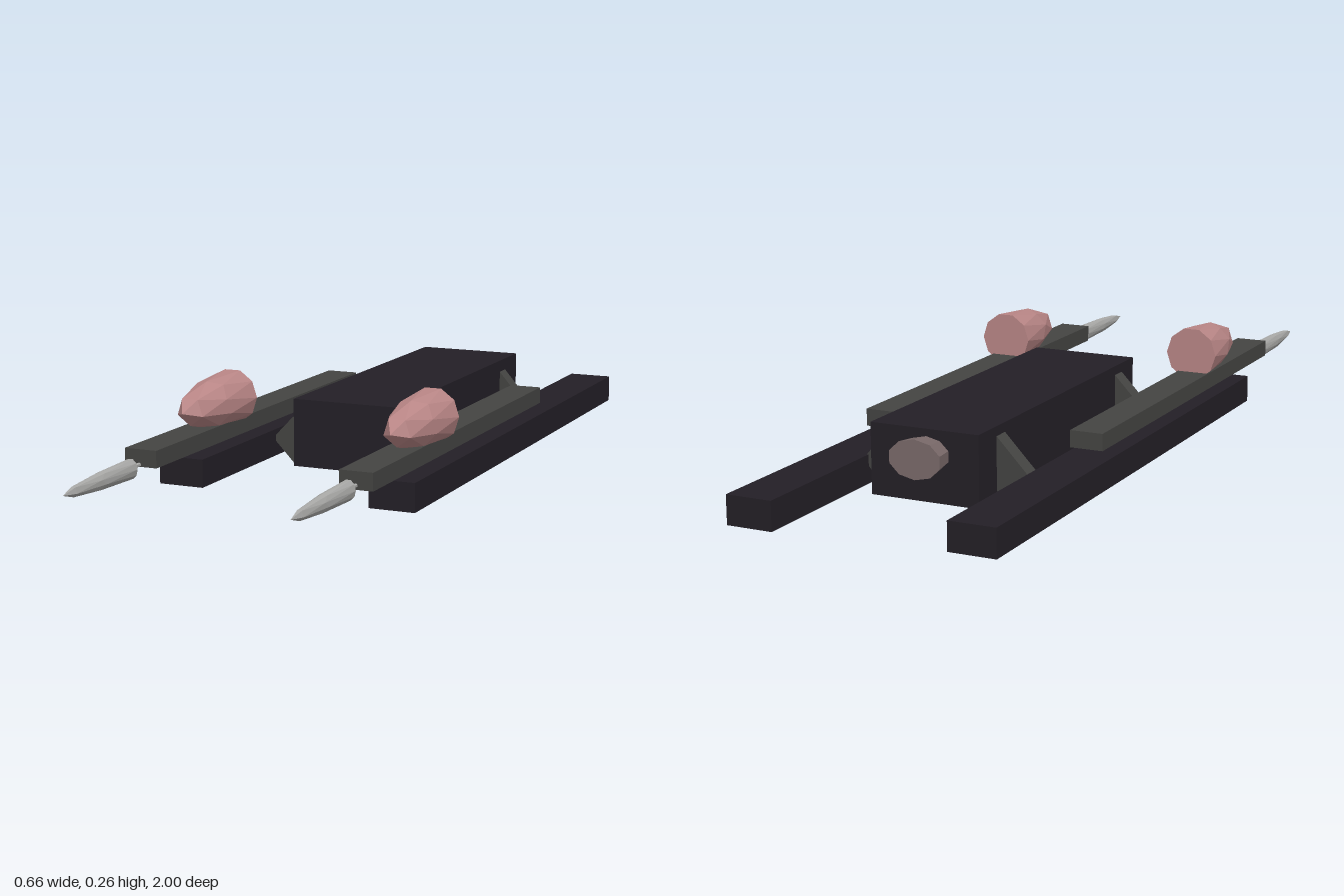
import * as THREE from 'three';

const mat = (color) => new THREE.MeshStandardMaterial({ color, flatShading: true, side: THREE.DoubleSide });

export function createModel() {
  const group = new THREE.Group();
  const black = mat(0x231f26), grey = mat(0x444442), pink = mat(0xb98686);
  const silver = mat(0xa8a8a6), brown = mat(0x7a6a6a);

  const add = (name, geometry, material) => {
    const mesh = new THREE.Mesh(geometry, material);
    mesh.name = name;
    group.add(mesh);
    return mesh;
  };

  // Box given by its minimum and maximum corners
  const box = (name, a, b, material) => {
    const mesh = add(name, new THREE.BoxGeometry(b[0] - a[0], b[1] - a[1], b[2] - a[2]), material);
    mesh.position.set((a[0] + b[0]) / 2, (a[1] + b[1]) / 2, (a[2] + b[2]) / 2);
  };

  // Faceted bullet: low-poly sphere with its pole on z and its rear half pressed flat
  const bullet = (name, x, y, rx, ry, z0, z1, material) => {
    const g = new THREE.IcosahedronGeometry(1, 1);
    g.rotateX(Math.atan(2 / (1 + Math.sqrt(5))));
    const p = g.attributes.position;
    for (let i = 0; i < p.count; i++) p.setZ(i, Math.max(0, p.getZ(i)));
    g.scale(rx, ry, z1 - z0);
    g.computeVertexNormals();
    add(name, g, material).position.set(x, y, z0);
  };

  // Slanted plate joining the hull to a runner
  const strut = (name, points, z) => {
    const shape = new THREE.Shape(points.map(([x, y]) => new THREE.Vector2(x, y)));
    const g = new THREE.ExtrudeGeometry(shape, { depth: 0.042, bevelEnabled: false });
    add(name, g, grey).position.z = z;
  };

  // Central hull and flared rear nozzle
  box('hull', [-0.13, 0.018, -0.68], [0.145, 0.188, 0.175], black);
  const nozzle = new THREE.CylinderGeometry(0.057, 0.067, 0.065, 10);
  nozzle.rotateX(Math.PI / 2);
  nozzle.scale(1, 0.7, 1);
  add('rearNozzle', nozzle, brown).position.set(0.002, 0.13, -0.7025);

  // Long lower runners
  box('leftRunner', [0.205, 0.012, -1], [0.32, 0.082, 0.472], black);
  box('rightRunner', [-0.33, 0.023, -0.985], [-0.215, 0.091, 0.492], black);

  // Upper rails
  box('leftRail', [0.22, 0.103, -0.435], [0.302, 0.145, 0.665], grey);
  box('rightRail', [-0.312, 0.108, -0.42], [-0.23, 0.149, 0.68], grey);

  // Front and rear struts
  const leftPlate = [[0.218, 0.072], [0.163, 0], [0.12, 0.035], [0.12, 0.186]];
  const rightPlate = [[-0.223, 0.068], [-0.165, 0.008], [-0.11, 0.055], [-0.11, 0.186]];
  for (const z of [-0.592, 0.047]) strut('leftStrut', leftPlate, z);
  for (const z of [-0.594, 0.062]) strut('rightStrut', rightPlate, z);

  // Rounded pods on the rails
  bullet('leftPod', 0.264, 0.19, 0.067, 0.068, 0.23, 0.485, pink);
  bullet('rightPod', -0.265, 0.197, 0.067, 0.068, 0.24, 0.495, pink);

  // Pointed tips on thin rods
  for (const [side, x, z] of [['left', 0.26, 0.703], ['right', -0.275, 0.717]]) {
    bullet(side + 'Tip', x, 0.111, 0.018, 0.024, z, z + 0.283, silver);
    const rod = new THREE.CylinderGeometry(0.005, 0.005, 0.07, 6);
    rod.rotateX(Math.PI / 2);
    add(side + 'TipRod', rod, silver).position.set(x, 0.113, z - 0.025);
  }

  return group;
}
